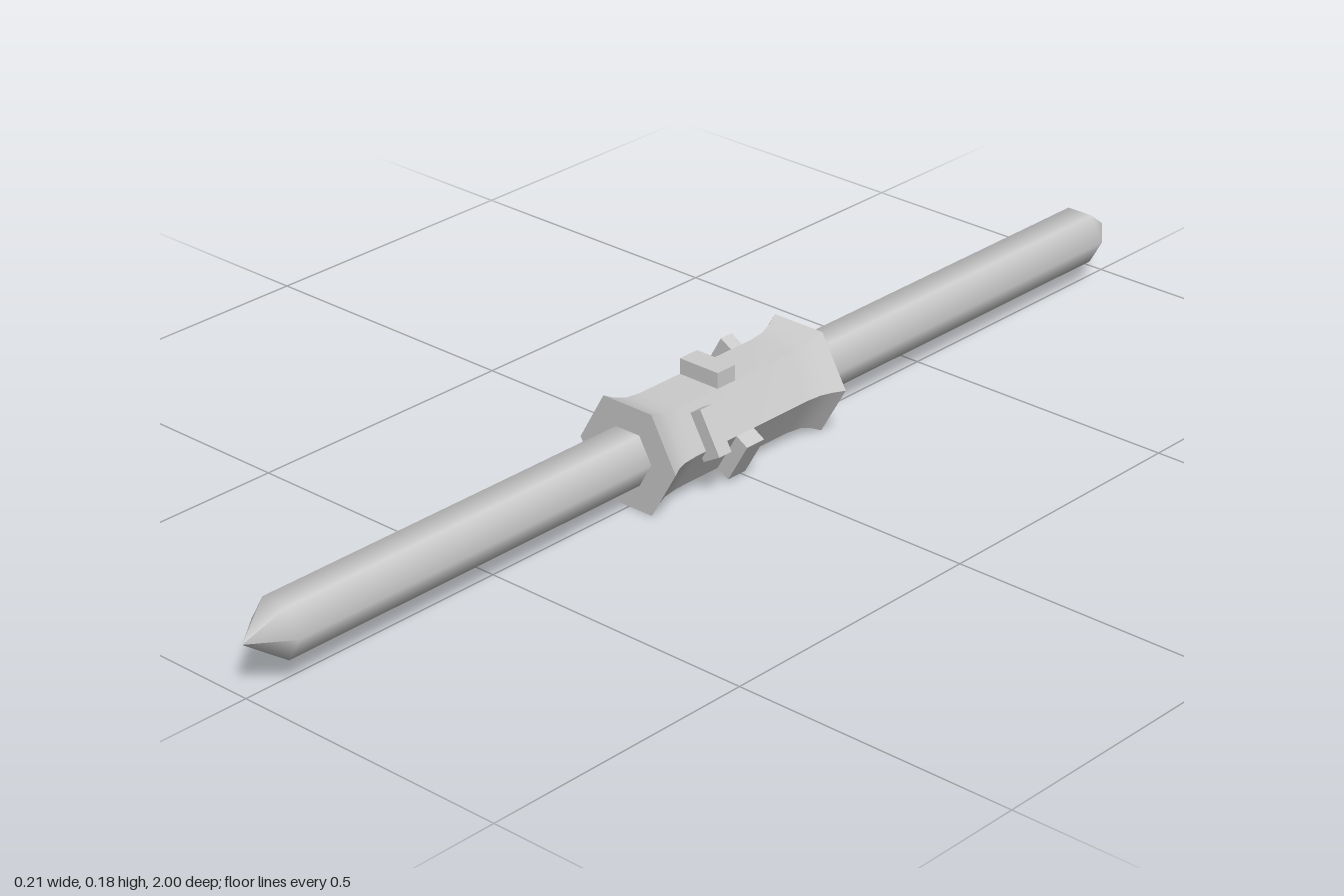
import * as THREE from 'three';
import { toCreasedNormals } from 'three/addons/utils/BufferGeometryUtils.js';

const AXIS = [-0.002, 0.0895, 0]; // long axis of the whole piece
const material = new THREE.MeshStandardMaterial({ color: 0xcccccc });

// Six-sided turned shape along z, corners on +x and -x. Profile: [radius, z].
function hexLathe(profile) {
  const points = profile.map(([r, z]) => new THREE.Vector2(r, z));
  return new THREE.LatheGeometry(points, 6, Math.PI / 2).rotateX(Math.PI / 2);
}

function addMesh(parent, name, geometry) {
  const mesh = new THREE.Mesh(geometry, material);
  mesh.name = name;
  parent.add(mesh);
  return mesh;
}

export function createModel() {
  const model = new THREE.Group();
  model.name = 'doubleEndedRod';
  const body = new THREE.Group();
  body.name = 'body';
  body.position.set(...AXIS);
  model.add(body);

  // Two smooth-shaded hexagonal rods with pointed tips
  const rod = hexLathe([[0.05, 0.19], [0.05, 0.935], [0, 1]]);
  addMesh(body, 'frontRod', rod);
  addMesh(body, 'backRod', rod).rotation.y = Math.PI;

  // Waisted hub with flared, flat ends
  const half = [[0.08, 0.13], [0.083, 0.16], [0.09, 0.18], [0.101, 0.2], [0, 0.2]];
  const hub = hexLathe([...half.map(([r, z]) => [r, -z]).reverse(), ...half]);
  addMesh(body, 'hub', toCreasedNormals(hub, 0.6));

  // Raised grip pads: [name, face angle, z, z width, outer height, slide along face]
  const pads = [
    ['topPad', 90, 0.017, 0.04, 0.0965, 0],
    ['lowerLeftPad', -30, 0.017, 0.04, 0.095, 0],
    ['lowerRightPad', 210, 0.017, 0.04, 0.095, 0],
    ['upperLeftPad', 30, 0.094, 0.028, 0.093, -0.015],
    ['upperRightPad', 150, -0.096, 0.026, 0.0945, 0],
  ];
  const inner = 0.055;
  for (const [name, degrees, z, width, outer, slide] of pads) {
    const box = new THREE.BoxGeometry(outer - inner, 0.08, width);
    box.translate((outer + inner) / 2, slide, z);
    addMesh(body, name, box).rotation.z = THREE.MathUtils.degToRad(degrees);
  }
  return model;
}
